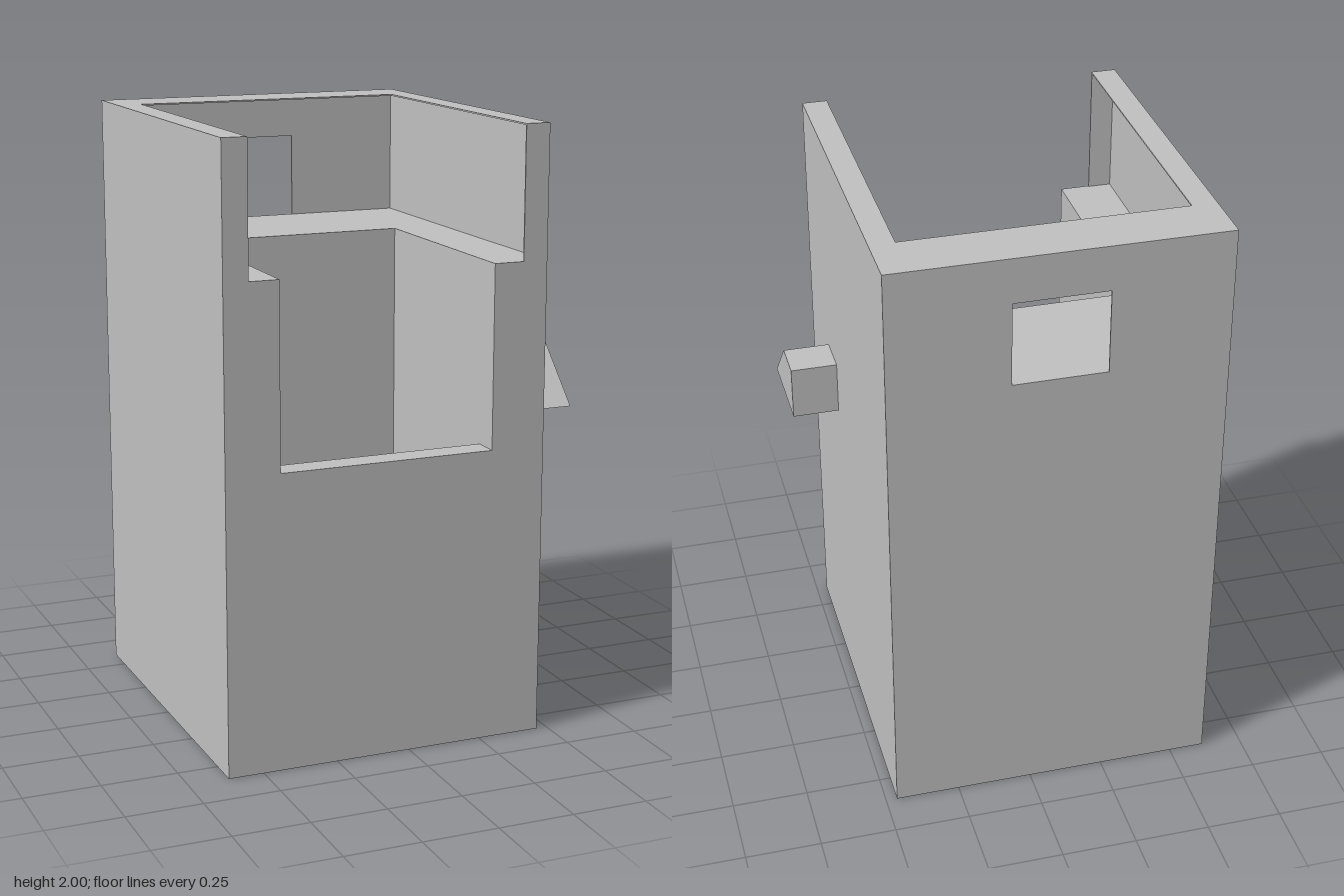
import * as THREE from 'three';

// Main dimensions
const L = -0.617, R = 0.463, B = -0.605, F = 0.605; // outer walls
const T = 0.005; // skin thickness
const SHELF = 1.57, SILL = 0.97, TOP = 2;
const shaft = { l: -0.437, r: 0.281, b: -0.16, f: 0.515 };
const rim = { l: -0.535, r: 0.381, b: -0.42 };

const poly = (pts) => new THREE.Shape(pts.map(([x, y]) => new THREE.Vector2(x, y)));
const rect = (l, b, r, t) => [[l, b], [r, b], [r, t], [l, t]];

// Plan outline open towards the front, in (x, -z)
const uPlan = (l, r, b) => poly([
  [L, -F], [l, -F], [l, -b], [r, -b], [r, -F], [R, -F], [R, -B], [L, -B],
]);

export function createModel() {
  const group = new THREE.Group();
  const grey = new THREE.MeshStandardMaterial({ color: 0xc0c0c0 });
  grey.name = 'plain grey';

  const add = (name, geometry) => {
    const mesh = new THREE.Mesh(geometry, grey);
    mesh.name = name;
    group.add(mesh);
  };
  const extrude = (shape, depth) =>
    new THREE.ExtrudeGeometry(shape, { depth, bevelEnabled: false });
  const slab = (name, shape, y0, y1) =>
    add(name, extrude(shape, y1 - y0).rotateX(-Math.PI / 2).translate(0, y0, 0));
  const box = (name, x0, x1, y0, y1, z0, z1) =>
    add(name, new THREE.BoxGeometry(x1 - x0, y1 - y0, z1 - z0)
      .translate((x0 + x1) / 2, (y0 + y1) / 2, (z0 + z1) / 2));

  // Lower body with the square shaft running through it
  const base = poly(rect(L, -F, R, -B));
  base.holes.push(poly(rect(shaft.l, -shaft.f, shaft.r, -shaft.b)));
  slab('lowerBody', base, 0, SILL);

  // Middle body, open at the front above the sill
  slab('middleBody', uPlan(shaft.l, shaft.r, shaft.b), SILL, SHELF);

  // Thin upper skin: sides, front strips and top rim
  box('upperSideLeft', R - T, R, SHELF, TOP, B, F);
  box('upperSideRight', L, L + T, SHELF, TOP, B, F);
  box('frontStripLeft', rim.r, R, SHELF, TOP, F - T, F);
  box('frontStripRight', L, rim.l, SHELF, TOP, F - T, F);
  slab('topRim', uPlan(rim.l, rim.r, rim.b), TOP - T, TOP);

  // Upper back wall with its window
  const back = poly([
    [L, SHELF], [-0.23, SHELF], [-0.23, 1.85], [0.075, 1.85],
    [0.075, SHELF], [R, SHELF], [R, TOP], [L, TOP],
  ]);
  add('upperBackWall', extrude(back, T).translate(0, 0, B));

  // Sloped block on the left side, profile in (-z, y)
  const block = poly([[-0.5, 1.06], [-0.18, 1.06], [-0.18, 1.24], [-0.318, 1.24]]);
  add('sideBlock', extrude(block, 0.617 - R).rotateY(Math.PI / 2).translate(R, 0, 0));

  return group;
}
